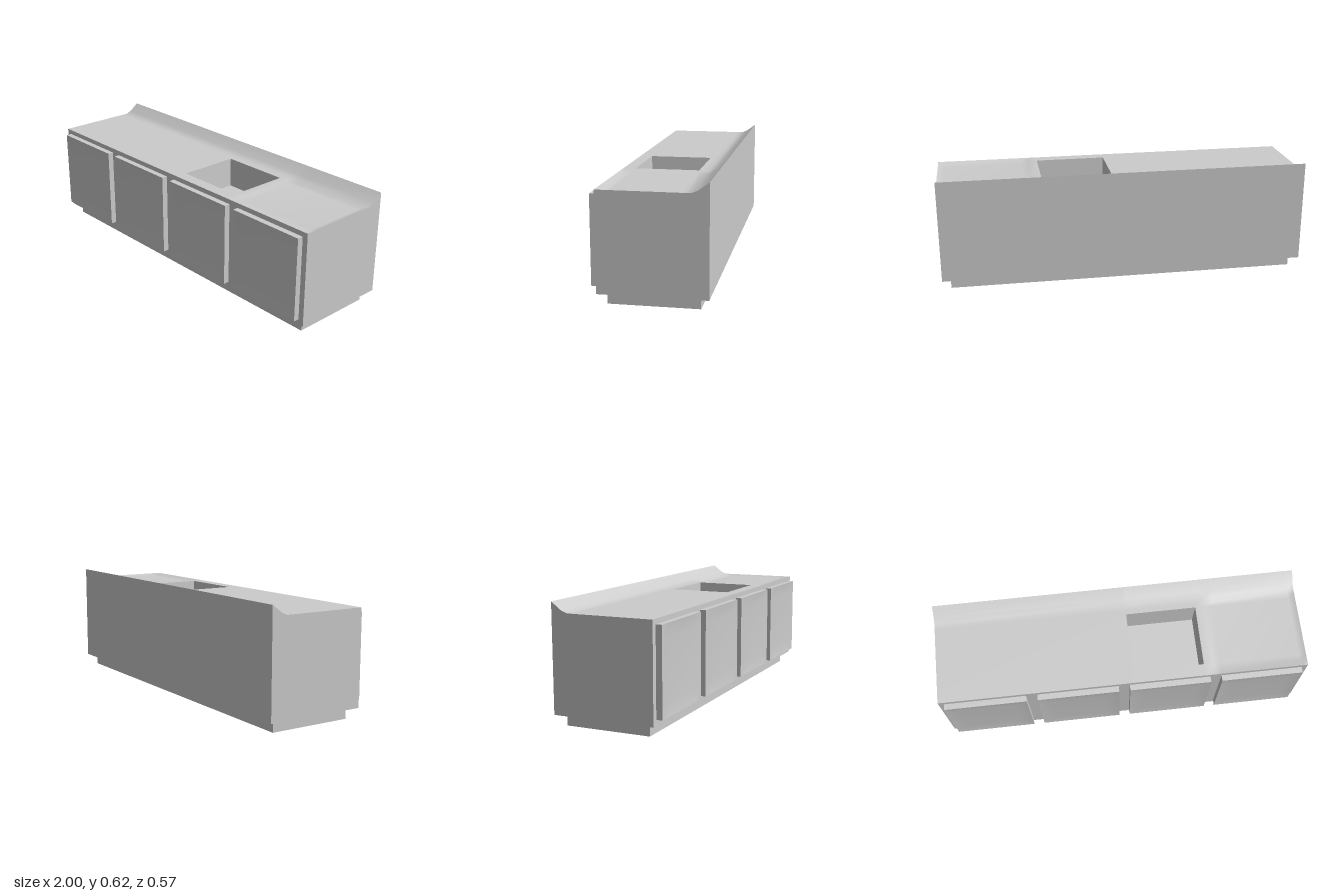
import * as THREE from 'three';

const material = new THREE.MeshStandardMaterial({ color: 0xcccccc, side: THREE.DoubleSide });

const TOP = 0.566, BASE = 0.06, FRONT = 0.255, BACK = -0.287;
const SINK = { x0: 0.055, x1: 0.44, z0: -0.145, z1: 0.19, depth: 0.16 };
const DRAIN = { x0: 0.53, x1: 0.965, z0: -0.17, z1: 0.215, depth: 0.012 };

function add(group, name, geometry, x = 0, y = 0, z = 0) {
  const mesh = new THREE.Mesh(geometry, material);
  mesh.name = name;
  mesh.position.set(x, y, z);
  group.add(mesh);
  return mesh;
}

// Moves every vertex by a rule, then refreshes the normals
function reshape(geometry, rule) {
  const pos = geometry.attributes.position;
  const v = new THREE.Vector3();
  for (let i = 0; i < pos.count; i++) {
    rule(v.fromBufferAttribute(pos, i));
    pos.setXYZ(i, v.x, v.y, v.z);
  }
  geometry.computeVertexNormals();
  return geometry;
}

// Removes the +y face of a box
function openTop(box) {
  const lid = box.groups[2];
  const index = Array.from(box.index.array);
  index.splice(lid.start, lid.count);
  box.setIndex(index);
  box.clearGroups();
  return box;
}

// Worktop height: flat, with an upswept splashback along the back
function profileHeight(z) {
  if (z >= -0.2) return TOP;
  if (z >= -0.232) return TOP + 0.012 * (-0.2 - z) / 0.032;
  return TOP + 0.012 + 0.041 * (-0.232 - z) / 0.055;
}

// Carcass: open box whose ends follow the splashback profile
function carcassGeometry() {
  const zs = [BACK, -0.232, -0.2, FRONT];
  const box = openTop(new THREE.BoxGeometry(2, 1, 3, 1, 1, 3));
  return reshape(box, v => {
    v.z = zs[Math.round(v.z + 1.5)];
    v.y = v.y > 0 ? profileHeight(v.z) : BASE;
  });
}

// Worktop: grid with a sink opening and a shallow draining area
function worktopGeometry() {
  const xs = [-1, SINK.x0, SINK.x1, 0.49, DRAIN.x0, DRAIN.x1, 1];
  const zs = [BACK, -0.232, -0.2, DRAIN.z0, SINK.z0, SINK.z1, DRAIN.z1, FRONT];
  const positions = [], index = [];
  for (const z of zs) for (const x of xs) {
    const sunk = x >= DRAIN.x0 && x <= DRAIN.x1 && z >= DRAIN.z0 && z <= DRAIN.z1;
    positions.push(x, profileHeight(z) - (sunk ? DRAIN.depth : 0), z);
  }
  for (let j = 0; j < zs.length - 1; j++) for (let i = 0; i < xs.length - 1; i++) {
    if (xs[i] === SINK.x0 && zs[j] === SINK.z0) continue;
    const a = j * xs.length + i, b = a + xs.length;
    index.push(a, b, a + 1, a + 1, b, b + 1);
  }
  const geometry = new THREE.BufferGeometry();
  geometry.setAttribute('position', new THREE.Float32BufferAttribute(positions, 3));
  geometry.setIndex(index);
  geometry.computeVertexNormals();
  return geometry;
}

// Sink basin: open box, slightly narrower at the floor
function sinkGeometry() {
  const box = openTop(new THREE.BoxGeometry(SINK.x1 - SINK.x0, SINK.depth, SINK.z1 - SINK.z0));
  return reshape(box, v => {
    if (v.y < 0) {
      v.x -= Math.sign(v.x) * 0.006;
      v.z -= Math.sign(v.z) * 0.006;
    }
  });
}

// Door: slab with a softly dished front
function doorGeometry() {
  const w = 0.44, h = 0.45, d = 0.032, border = 0.07;
  return reshape(new THREE.BoxGeometry(w, h, d, 3, 3, 1), v => {
    const innerX = Math.abs(v.x) < w / 2 - 0.01, innerY = Math.abs(v.y) < h / 2 - 0.01;
    if (innerX) v.x = Math.sign(v.x) * (w / 2 - border);
    if (innerY) v.y = Math.sign(v.y) * (h / 2 - border);
    if (innerX && innerY && v.z > 0) v.z -= 0.008;
  });
}

export function createModel() {
  const model = new THREE.Group();
  model.name = 'sinkCabinet';

  add(model, 'plinth', new THREE.BoxGeometry(1.91, BASE, 0.455), 0, BASE / 2, -0.0145);
  add(model, 'carcass', carcassGeometry());
  add(model, 'worktop', worktopGeometry());
  add(model, 'sinkBasin', sinkGeometry(),
    (SINK.x0 + SINK.x1) / 2, TOP - SINK.depth / 2, (SINK.z0 + SINK.z1) / 2);

  // Four doors across the front
  const door = doorGeometry();
  for (let i = 0; i < 4; i++) add(model, `door${i + 1}`, door, -0.75 + i * 0.5, 0.315, 0.271);

  return model;
}
